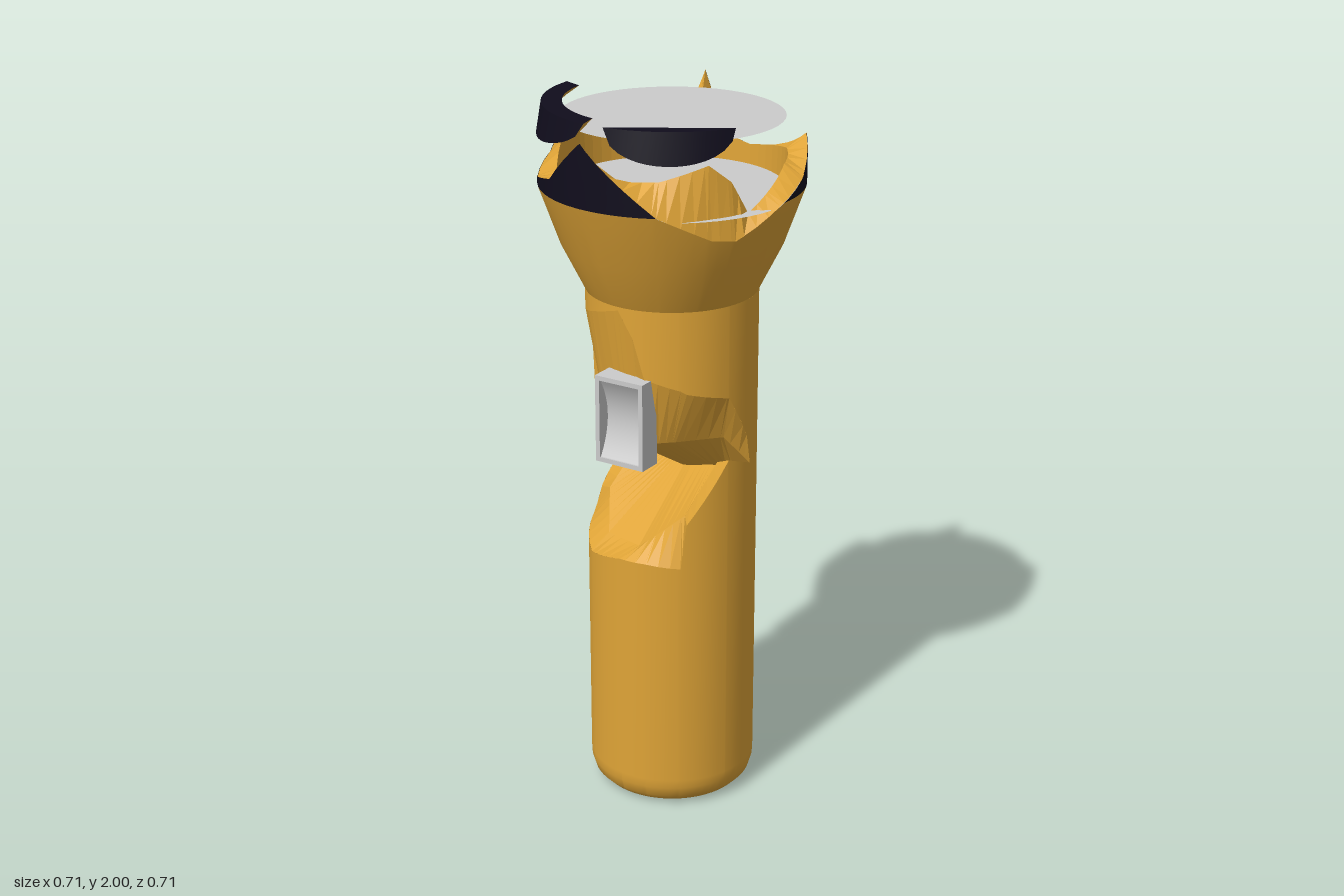
import * as THREE from 'three';

const RAD = Math.PI / 180;
const yellow = new THREE.MeshStandardMaterial({ color: 0xdfa437, side: THREE.DoubleSide });
const broken = new THREE.MeshStandardMaterial({ color: 0xdfa437, side: THREE.DoubleSide, flatShading: true });
const dark = new THREE.MeshStandardMaterial({ color: 0x100d1c, side: THREE.DoubleSide });
const grey = new THREE.MeshStandardMaterial({ color: 0xcccccc, side: THREE.DoubleSide });

// Point at an angle measured from the front towards the model's left
const polar = (deg, r, y) => [r * Math.sin(deg * RAD), y, r * Math.cos(deg * RAD)];

// Linear lookup in rows of [angle, ...values]
function look(table, deg) {
  let i = 0;
  while (i < table.length - 2 && deg > table[i + 1][0]) i++;
  const a = table[i], b = table[i + 1];
  const t = THREE.MathUtils.clamp((deg - a[0]) / (b[0] - a[0]), 0, 1);
  return a.slice(1).map((v, k) => v + (b[k + 1] - v) * t);
}

// Angles in even steps, plus the corners of a table
function angles(from, to, step, table = []) {
  const set = new Set(table.map(r => r[0]).filter(d => d >= from && d <= to));
  for (let d = from; d < to; d += step) set.add(d);
  set.add(to);
  return [...set].sort((a, b) => a - b);
}

// Skin over columns of points; a closed skin joins its last column to its first
function skin(name, columns, material, closed = false) {
  const rows = columns[0].length, n = columns.length, index = [];
  for (let j = 0; j < (closed ? n : n - 1); j++) {
    for (let i = 0; i < rows - 1; i++) {
      const a = j * rows + i, b = ((j + 1) % n) * rows + i;
      index.push(a, b, b + 1, a, b + 1, a + 1);
    }
  }
  const g = new THREE.BufferGeometry();
  g.setAttribute('position', new THREE.Float32BufferAttribute(columns.flat(2), 3));
  g.setIndex(index);
  g.computeVertexNormals();
  const mesh = new THREE.Mesh(g, material);
  mesh.name = name;
  return mesh;
}

const BODY = 0.235;

// Broken edges of the handle: angle, lower edge, upper edge
const EDGE = [
  [-180, 0.99, 0.99], [-145, 0.99, 0.99], [-115, 0.95, 1.03], [-90, 0.85, 1.1],
  [-82, 0.8, 1.13], [-76, 0.78, 1.41], [-40, 0.73, 1.44], [-5, 0.76, 1.48],
  [6, 0.76, 1.41], [14, 0.76, 1.3], [38, 0.75, 1.27], [42, 0.88, 1.26],
  [73, 1.05, 1.23], [92, 1.02, 1.1], [97, 1.01, 1.01], [180, 0.99, 0.99],
];
// Inside the break: angle, lower ridge xyz, deepest line xyz, upper ridge xyz
const CUT = [
  [-145, -0.135, 0.99, -0.19, -0.135, 0.99, -0.19, -0.135, 0.99, -0.19],
  [-115, -0.18, 0.95, -0.1, -0.11, 0.97, -0.16, -0.18, 1.03, -0.1],
  [-82, -0.19, 0.86, 0.03, -0.08, 0.96, -0.13, -0.21, 1.12, 0.03],
  [-40, -0.12, 0.78, 0.14, -0.04, 0.945, -0.08, -0.11, 1.11, 0.15],
  [-5, 0, 0.78, 0.17, 0, 0.94, -0.06, -0.01, 1.09, 0.185],
  [14, 0.05, 0.82, 0.165, 0.03, 0.95, -0.05, 0.05, 1.1, 0.185],
  [42, 0.13, 0.89, 0.14, 0.1, 0.97, -0.04, 0.1, 1.1, 0.14],
  [73, 0.18, 1.03, 0.055, 0.18, 0.99, -0.03, 0.19, 1.1, 0.04],
  [97, 0.233, 1.01, -0.029, 0.233, 1.01, -0.029, 0.233, 1.01, -0.029],
];

// Broken edge of the head: angle, outer height, inner height
const RIM = [
  [-180, 1.81, 1.83], [-173, 1.79, 1.84], [-163, 2, 1.93], [-150, 1.8, 1.84],
  [-142, 1.74, 1.85], [-125, 1.79, 1.88], [-92, 1.88, 1.92], [-80, 1.82, 1.9],
  [-60, 1.79, 1.82], [-30, 1.83, 1.8], [-9, 1.95, 1.85], [26, 1.78, 1.86],
  [50, 1.71, 1.9], [62, 1.7, 1.85], [72, 1.73, 1.76], [86, 1.78, 1.8],
  [105, 1.82, 1.85], [128, 1.9, 1.86], [168, 1.78, 1.82], [180, 1.81, 1.83],
];
const FLARE = [[1.49, 0.235], [1.62, 0.3], [1.78, 0.357], [1.92, 0.357], [2, 0.343]];
const flareRadius = y => look(FLARE, y)[0];

function handle() {
  const g = new THREE.Group();
  g.name = 'handle';
  const ring = angles(-180, 180, 6, EDGE).slice(0, -1);
  const foot = [[0, 0], [0.18, 0], [0.205, 0.009], [0.225, 0.03], [0.234, 0.06], [BODY, 0.085]];
  g.add(skin('lowerHandle', ring.map(d =>
    [...foot.map(([r, y]) => polar(d, r, y)), polar(d, BODY, look(EDGE, d)[0])]), yellow, true));
  g.add(skin('upperHandle', ring.map(d =>
    [polar(d, BODY, look(EDGE, d)[1]), polar(d, BODY, 1.49)]), yellow, true));

  // Rough faces left by the missing chunk
  const notch = angles(-145, 97, 8, [...EDGE, ...CUT]);
  g.add(skin('lowerBreak', notch.map(d => {
    const c = look(CUT, d);
    return [polar(d, BODY, look(EDGE, d)[0]), c.slice(0, 3), c.slice(3, 6)];
  }), broken));
  g.add(skin('upperBreak', notch.map(d => {
    const c = look(CUT, d);
    return [c.slice(3, 6), c.slice(6, 9), polar(d, BODY, look(EDGE, d)[1])];
  }), broken));
  return g;
}

function head() {
  const g = new THREE.Group();
  g.name = 'head';
  const ring = angles(-180, 180, 6, RIM).slice(0, -1);
  g.add(skin('flare', ring.map(d => {
    const top = Math.min(look(RIM, d)[0], 1.78);
    return [1.49, 1.62, top].map(y => polar(d, flareRadius(y), y));
  }), yellow, true));
  // Dark rim that remains above the flare
  g.add(skin('rim', ring.map(d => {
    const top = Math.max(look(RIM, d)[0], 1.78);
    return [1.78, (1.78 + top) / 2, top].map(y => polar(d, flareRadius(y), y));
  }), dark, true));
  g.add(skin('rimBreak', ring.map(d => {
    const [outer, inner] = look(RIM, d);
    return [polar(d, flareRadius(outer) - 0.001, outer), polar(d, 0.305, inner), polar(d, 0.3, 1.7)];
  }), broken, true));

  // Loose pieces of the top rim
  for (const [from, to, chord] of [[-92, -8, false], [2, 60, true]]) {
    const mid = (from + to) / 2, half = (to - from) / 2;
    const parts = angles(from, to, 4).map(d => {
      const bulge = Math.sqrt(Math.max(0, 1 - ((d - mid) / half) ** 2));
      const inner = chord
        ? 0.343 * Math.cos(half * RAD) / Math.cos((d - mid) * RAD)
        : 0.343 - 0.055 * Math.min(1, bulge * 2.5);
      const bottom = 2 - 0.085 * bulge;
      return [polar(d, inner, 2), polar(d, flareRadius(bottom), bottom), polar(d, 0.343, 2)];
    });
    g.add(skin('shardUnderside', parts.map(p => [p[0], p[1]]), broken));
    g.add(skin('shardOutside', parts.map(p => [p[1], p[2]]), dark));
    g.add(skin('shardTop', parts.map(p => [p[2], p[0]]), dark));
  }

  // Lens and the plate beneath it
  for (const [name, r, y] of [['lens', 0.3, 1.96], ['reflectorPlate', 0.343, 1.765]]) {
    const disc = new THREE.Mesh(new THREE.CircleGeometry(r, 48).rotateX(-Math.PI / 2), grey);
    disc.name = name;
    disc.position.y = y;
    g.add(disc);
  }
  return g;
}

// Switch: a frame around a dished button
function powerSwitch() {
  const g = new THREE.Group();
  g.name = 'powerSwitch';
  const rect = (s, w, h) => s.moveTo(-w, -h).lineTo(w, -h).lineTo(w, h).lineTo(-w, h).closePath();
  const outline = rect(new THREE.Shape(), 0.075, 0.123);
  outline.holes.push(rect(new THREE.Path(), 0.062, 0.11));
  const frame = new THREE.Mesh(new THREE.ExtrudeGeometry(outline, { depth: 0.07, bevelEnabled: false }), grey);
  frame.name = 'switchFrame';
  const dish = new THREE.PlaneGeometry(0.124, 0.22, 1, 16);
  const p = dish.attributes.position;
  for (let i = 0; i < p.count; i++) p.setZ(i, 0.065 - 0.035 * (1 - (p.getY(i) / 0.11) ** 2));
  dish.computeVertexNormals();
  const button = new THREE.Mesh(dish, grey);
  button.name = 'switchButton';
  const back = new THREE.Mesh(new THREE.PlaneGeometry(0.15, 0.246), grey);
  back.name = 'switchBack';
  g.add(frame, button, back);
  g.position.set(0, 1.175, 0.195);
  return g;
}

export function createModel() {
  const model = new THREE.Group();
  model.name = 'brokenFlashlight';
  model.add(handle(), head(), powerSwitch());
  return model;
}
